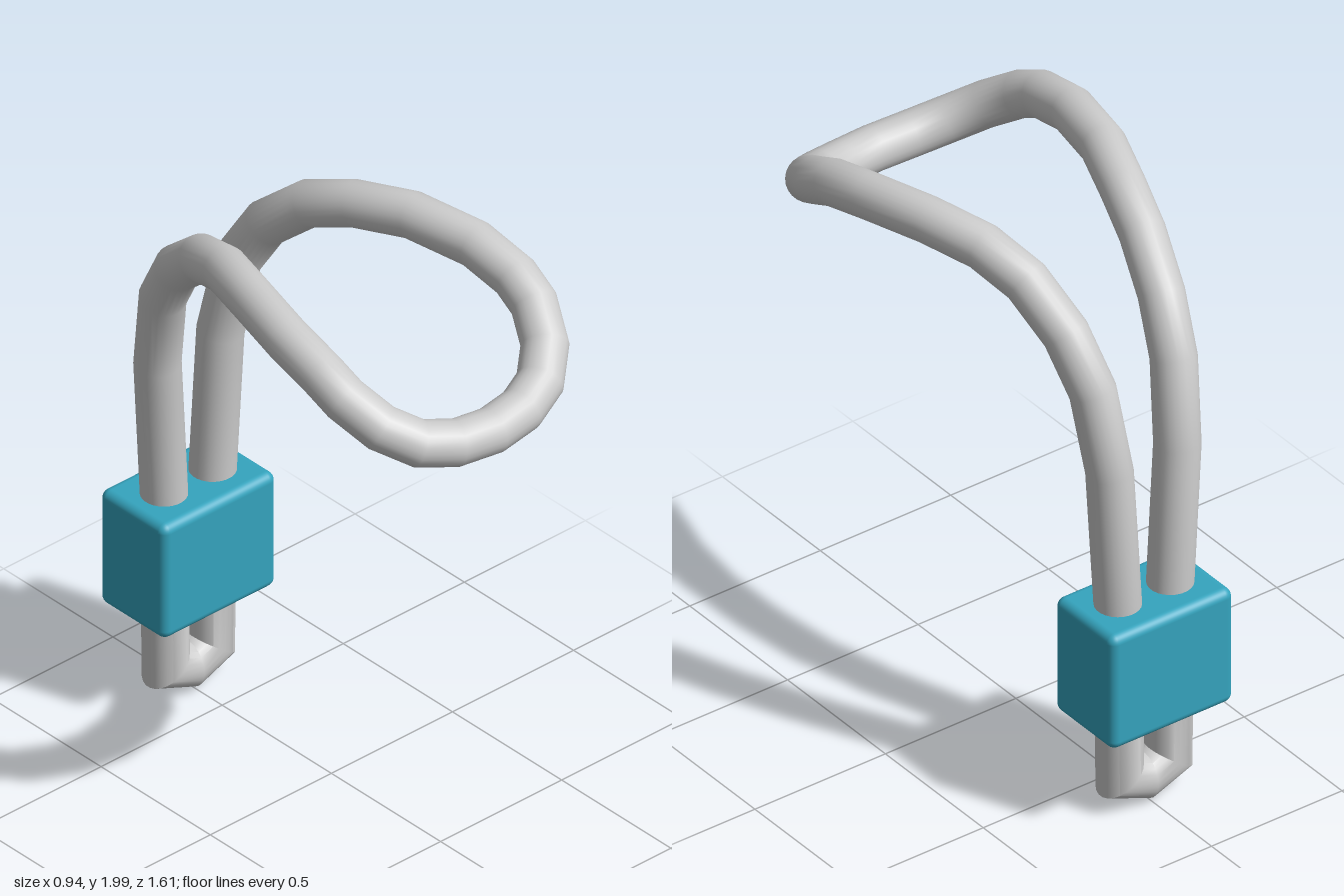
import * as THREE from 'three';
import { toCreasedNormals } from 'three/addons/utils/BufferGeometryUtils.js';
import { RoundedBoxGeometry } from 'three/addons/geometries/RoundedBoxGeometry.js';

// Closed tube along a polyline with mitred joints, each span a true cylinder.
// The path starts where it crosses the plane x = 0, running towards +x.
function mitredLoop(path, radius, sides) {
  const n = path.length;
  const dirs = path.map((p, i) => path[(i + 1) % n].clone().sub(p).normalize());
  const positions = [], index = [];
  let ring = [];
  for (let j = 0; j < sides; j++) {
    const a = (j / sides) * Math.PI * 2;
    ring.push(new THREE.Vector3(0, Math.cos(a) * radius, Math.sin(a) * radius).add(path[0]));
  }
  for (let i = 0; i < n; i++) {
    ring.forEach(v => positions.push(v.x, v.y, v.z));
    // slide the ring along this span on to the next mitre plane
    const d = dirs[i], k = (i + 1) % n;
    const normal = d.clone().add(dirs[k]).normalize();
    ring = ring.map(v => {
      const t = path[k].clone().sub(v).dot(normal) / d.dot(normal);
      return v.clone().addScaledVector(d, t);
    });
    for (let j = 0; j < sides; j++) {
      const a = i * sides + j, b = i * sides + (j + 1) % sides;
      const c = k * sides + j, e = k * sides + (j + 1) % sides;
      index.push(a, b, c, b, e, c);
    }
  }
  const g = new THREE.BufferGeometry();
  g.setAttribute('position', new THREE.Float32BufferAttribute(positions, 3));
  g.setIndex(index);
  return toCreasedNormals(g, 0.56);
}

export function createModel() {
  const model = new THREE.Group();
  model.name = 'cordLoop';

  // Centre line of the left half: front of the loop, over the top, down the leg
  const half = [
    [0, 1.647, 0.733], [0.135, 1.655, 0.718], [0.25, 1.685, 0.678], [0.338, 1.745, 0.603],
    [0.39, 1.82, 0.495], [0.398, 1.868, 0.4], [0.388, 1.907, 0.23], [0.335, 1.923, 0],
    [0.268, 1.9, -0.19], [0.222, 1.84, -0.35], [0.183, 1.71, -0.5], [0.155, 1.54, -0.6],
    [0.13, 1.26, -0.652], [0.1, 0.75, -0.655], [0.093, 0.12, -0.655], [0, 0.083, -0.655],
  ].map(p => new THREE.Vector3(...p));
  const mirrored = half.slice(1, -1).reverse().map(p => new THREE.Vector3(-p.x, p.y, p.z));

  const cord = new THREE.Mesh(
    mitredLoop([...half, ...mirrored], 0.075, 24),
    new THREE.MeshStandardMaterial({ color: 0xcccccc })
  );
  cord.name = 'cord';
  model.add(cord);

  // Block gripping both legs
  const block = new THREE.Mesh(
    new RoundedBoxGeometry(0.47, 0.42, 0.3, 4, 0.03),
    new THREE.MeshStandardMaterial({ color: 0x35a5bf })
  );
  block.name = 'clampBlock';
  block.position.set(0, 0.548, -0.656);
  model.add(block);

  return model;
}
